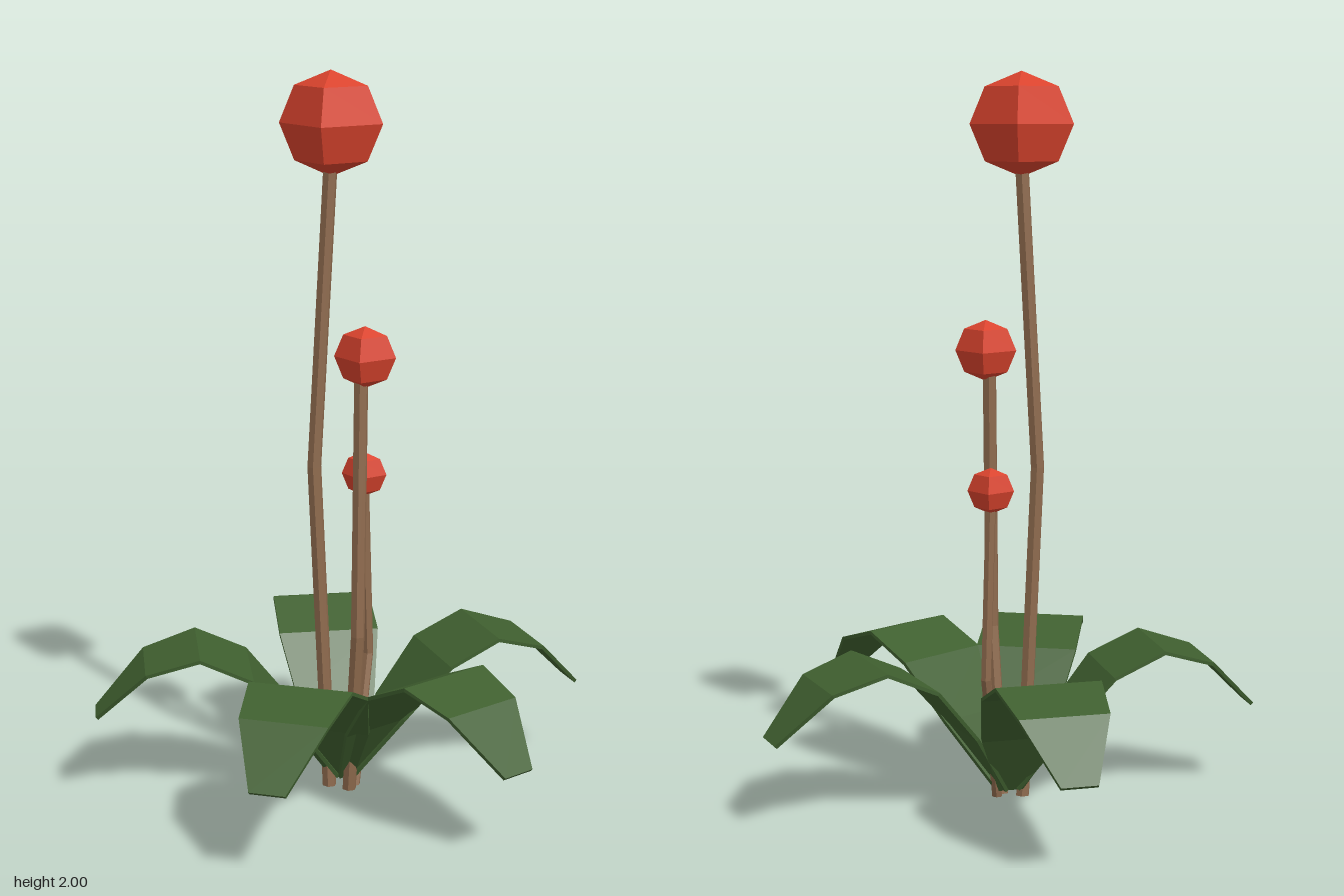
import * as THREE from 'three';

const mat = (name, color) => {
  const m = new THREE.MeshStandardMaterial({ color, flatShading: true });
  m.name = name;
  return m;
};

// Leaf cross-sections from base to tip: [distance out, height, width]
const LEAF = [
  [0.02, 0.03, 0.07],
  [0.14, 0.21, 0.225],
  [0.267, 0.36, 0.29],
  [0.41, 0.425, 0.286],
  [0.555, 0.38, 0.241],
  [0.692, 0.24, 0.098],
];

// A thin box bent along the leaf profile
function leafGeometry() {
  const n = LEAF.length - 1, half = 0.005;
  const g = new THREE.BoxGeometry(1, 1, 1, 1, 1, n);
  const p = g.attributes.position;
  for (let i = 0; i < p.count; i++) {
    const k = Math.round((p.getZ(i) + 0.5) * n);
    const [r, y, w] = LEAF[k];
    const a = LEAF[Math.max(k - 1, 0)], b = LEAF[Math.min(k + 1, n)];
    const len = Math.hypot(b[0] - a[0], b[1] - a[1]);
    const t = Math.sign(p.getY(i)) * half / len;
    p.setXYZ(i, p.getX(i) * w, y + t * (b[0] - a[0]), r - t * (b[1] - a[1]));
  }
  g.computeVertexNormals();
  return g;
}

// A six-sided stem whose rings follow the given points, bottom to top
function stemGeometry(points, radius) {
  const n = points.length - 1;
  const g = new THREE.CylinderGeometry(radius, radius, 1, 6, n);
  const p = g.attributes.position;
  for (let i = 0; i < p.count; i++) {
    const [x, y, z] = points[Math.round((p.getY(i) + 0.5) * n)];
    p.setXYZ(i, p.getX(i) + x, y, p.getZ(i) + z);
  }
  g.computeVertexNormals();
  return g;
}

export function createModel() {
  const model = new THREE.Group();
  model.name = 'plant';
  const green = mat('leaf green', 0x3f5f2f);
  const brown = mat('stem brown', 0x8f6b4e);
  const red = mat('bud red', 0xd9432d);

  const add = (name, geometry, material) => {
    const mesh = new THREE.Mesh(geometry, material);
    mesh.name = name;
    model.add(mesh);
    return mesh;
  };

  // Rosette of unevenly spaced leaves
  const leaf = leafGeometry();
  [-109.7, -29, 39.4, 96, 163].forEach((deg, i) => {
    const m = add('leaf' + (i + 1), leaf, green);
    m.position.set(0.022, 0, -0.012);
    m.rotation.y = Math.PI / 2 - THREE.MathUtils.degToRad(deg);
  });

  // Bent stems, each topped by a faceted bud
  const flowers = [
    { name: 'tall', r: 0.02, bud: 0.14, at: [-0.013, 1.86, -0.003],
      path: [[-0.015, 0, 0.012], [-0.055, 0.93, 0.02], [-0.013, 1.76, 0]] },
    { name: 'middle', r: 0.02, bud: 0.084, at: [0.09, 1.246, 0.053],
      path: [[0.045, 0, 0.03], [0.077, 0.47, 0.08], [0.08, 1.2, 0.053]] },
    { name: 'short', r: 0.015, bud: 0.063, at: [0.062, 0.883, -0.104],
      path: [[0.055, 0, -0.005], [0.075, 0.36, -0.108], [0.062, 0.85, -0.104]] },
  ];
  for (const f of flowers) {
    add(f.name + 'Stem', stemGeometry(f.path, f.r), brown);
    add(f.name + 'Bud', new THREE.SphereGeometry(f.bud, 4, 4), red).position.set(...f.at);
  }
  return model;
}
